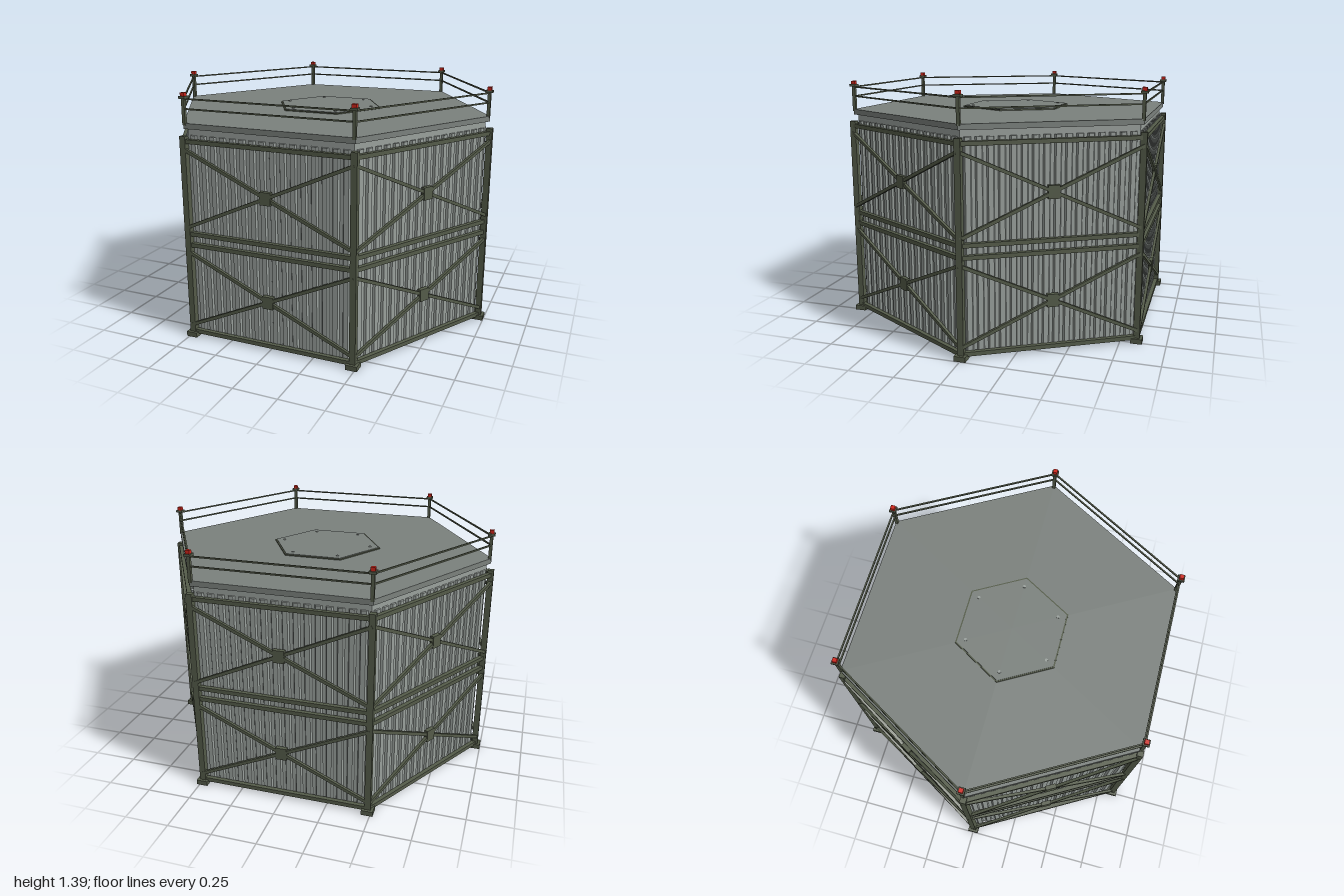
import * as THREE from 'three';

const mat = (name, color) => {
  const m = new THREE.MeshStandardMaterial({ color });
  m.name = name;
  return m;
};

export function createModel() {
  const wall = mat('wall grey', 0x9aa19d);
  const roof = mat('roof grey', 0x7b817d);
  const steel = mat('olive steel', 0x555c4a);
  const red = mat('beacon red', 0xd0251a);
  const model = new THREE.Group();
  model.name = 'hexagonalTank';

  const add = (parent, name, geo, material, x = 0, y = 0, z = 0) => {
    const mesh = new THREE.Mesh(geo, material);
    mesh.name = name;
    mesh.position.set(x, y, z);
    parent.add(mesh);
    return mesh;
  };
  const box = (parent, name, w, h, d, material, x, y, z) =>
    add(parent, name, new THREE.BoxGeometry(w, h, d), material, x, y, z);
  // Flat-faced hexagonal prism with two corners on the x axis
  const hex = (name, r, y0, y1, material) => {
    const geo = new THREE.CylinderGeometry(r, r, y1 - y0, 6).rotateY(Math.PI / 6).toNonIndexed();
    geo.computeVertexNormals();
    return add(model, name, geo, material, 0, (y0 + y1) / 2, 0);
  };

  // Main body, roof slab and hatch
  hex('tankWall', 0.942, 0.005, 1.197, wall);
  hex('roofSlab', 0.965, 1.195, 1.225, roof);
  hex('hatchRim', 0.325, 1.224, 1.231, steel);
  hex('hatchPlate', 0.316, 1.225, 1.234, roof);

  // Trapezoid rib section for the corrugated cladding
  const ribShape = new THREE.Shape([
    new THREE.Vector2(-0.02, 0), new THREE.Vector2(0.02, 0),
    new THREE.Vector2(0.013, -0.013), new THREE.Vector2(-0.013, -0.013),
  ]);
  const ribGeo = new THREE.ExtrudeGeometry(ribShape, { depth: 1.15, bevelEnabled: false })
    .rotateX(-Math.PI / 2);

  const R = 0.968;               // frame corner radius
  const A = R * Math.sqrt(3) / 2; // distance from centre to frame side
  const ribs = 16;

  for (let k = 0; k < 6; k++) {
    // One wall side, built facing +z and turned into place
    const side = new THREE.Group();
    side.name = 'wallSide';
    side.rotation.y = k * Math.PI / 3;
    model.add(side);
    for (let i = 0; i < ribs; i++) {
      add(side, 'claddingRib', ribGeo, wall, (i - (ribs - 1) / 2) * 0.058, 0.01, 0.815);
    }
    for (const y of [0.03, 0.55, 0.614, 1.13]) {
      box(side, 'crossBeam', R, 0.023, 0.024, steel, 0, y, A);
    }
    // Crossed braces with a centre plate, in two tiers
    for (const y of [0.29, 0.87]) {
      for (const s of [-1, 1]) {
        const brace = box(side, 'brace', Math.hypot(0.97, 0.44), 0.018, 0.016, steel,
          0, y, A + 0.01 + s * 0.001);
        brace.rotation.z = s * Math.atan2(0.44, 0.97);
      }
      box(side, 'centrePlate', 0.062, 0.07, 0.024, steel, 0, y, A + 0.01);
    }
    // Guard rails
    for (const y of [1.3, 1.353]) {
      box(side, 'guardRail', 0.955, 0.008, 0.008, steel, 0, y, 0.957 * Math.sqrt(3) / 2);
    }

    // Corner post, foot, rail post and beacon
    const a = k * Math.PI / 3, c = Math.cos(a), s = Math.sin(a);
    box(model, 'cornerPost', 0.034, 1.155, 0.034, steel, R * c, 0.58, R * s);
    box(model, 'footPlate', 0.064, 0.028, 0.064, steel, R * c, 0.014, R * s);
    const rx = 0.955 * c, rz = 0.96 * s;
    box(model, 'railPost', 0.018, 0.15, 0.018, steel, rx, 1.29, rz);
    box(model, 'railCap', 0.038, 0.013, 0.038, steel, rx, 1.362, rz);
    box(model, 'beacon', 0.024, 0.02, 0.024, red, rx, 1.377, rz);
    add(model, 'hatchBolt', new THREE.CylinderGeometry(0.009, 0.009, 0.004, 8), wall,
      0.265 * c, 1.235, 0.265 * s);
  }
  return model;
}
